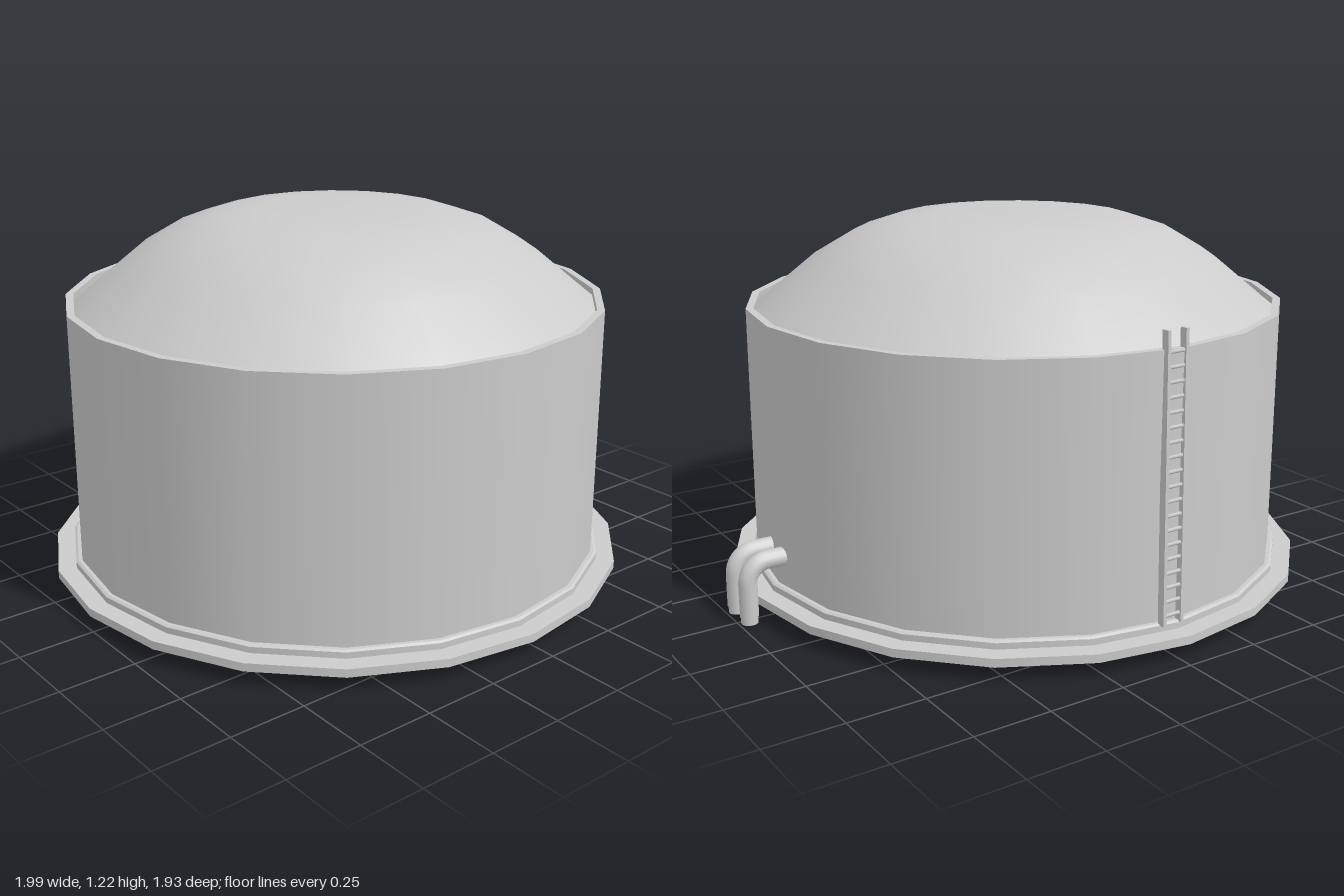
import * as THREE from 'three';

const SIDES = 20;

export function createModel() {
  const model = new THREE.Group();
  model.name = 'storageTank';
  const mat = new THREE.MeshStandardMaterial({ color: 0xcccccc });

  const add = (parent, name, geometry) => {
    const mesh = new THREE.Mesh(geometry, mat);
    mesh.name = name;
    parent.add(mesh);
    return mesh;
  };
  const group = (name) => {
    const g = new THREE.Group();
    g.name = name;
    model.add(g);
    return g;
  };
  const lathe = (pts) =>
    new THREE.LatheGeometry(pts.map(([r, y]) => new THREE.Vector2(r, y)), SIDES);
  // One lathe per profile segment keeps the edges between them sharp
  const addHard = (parent, name, pts) => {
    for (let i = 0; i < pts.length - 1; i++) add(parent, name, lathe([pts[i], pts[i + 1]]));
  };

  // Round tank body, slightly off centre because the pipes stick out on one side
  const tank = group('tank');
  tank.position.set(-0.035, 0, -0.003);
  tank.rotation.y = -0.011;
  addHard(tank, 'base', [
    [0, 0.03], [0.905, 0.03], [0.905, 0.048], [0.965, 0.048], [0.965, 0.075],
    [0.905, 0.075], [0.905, 0.095], [0.897, 0.1], [0.885, 0.1],
  ]);
  addHard(tank, 'wall', [[0.885, 0.1], [0.885, 0.932], [0.86, 0.932], [0.86, 0.91]]);
  add(tank, 'domeRoof', lathe([
    [0.86, 0.91], [0.835, 0.93], [0.665, 1.07], [0.53, 1.15],
    [0.395, 1.195], [0.25, 1.212], [0, 1.216],
  ]));

  // Two elbow pipes on the left side, each with a narrower foot
  for (const z of [-0.018, 0.082]) {
    const pipe = group('outletPipe');
    pipe.position.z = z;
    const path = new THREE.CurvePath();
    const v = (x, y) => new THREE.Vector3(x, y, 0);
    const bend = 0.065, x = 0.965, y = 0.197, k = bend * 0.448;
    path.add(new THREE.LineCurve3(v(0.82, y), v(x - bend, y)));
    path.add(new THREE.CubicBezierCurve3(
      v(x - bend, y), v(x - k, y), v(x, y - k), v(x, y - bend)));
    path.add(new THREE.LineCurve3(v(x, y - bend), v(x, 0.025)));
    add(pipe, 'elbow', new THREE.TubeGeometry(path, 32, 0.03, 14));
    add(pipe, 'collar', new THREE.CylinderGeometry(0.03, 0.03, 0.004, 14)).position.set(x, 0.025, 0);
    add(pipe, 'foot', new THREE.CylinderGeometry(0.027, 0.027, 0.03, 14)).position.set(x, 0.015, 0);
  }

  // Ladder on the back, leaning slightly against the wall
  const ladder = group('ladder');
  const bottom = 0.095, top = 0.99, height = top - bottom;
  ladder.position.set(-0.003, bottom, -0.9);
  ladder.rotation.x = 0.022;
  for (const side of [-1, 1]) {
    add(ladder, 'rail', new THREE.BoxGeometry(0.011, height, 0.026))
      .position.set(side * 0.033, height / 2, 0);
  }
  const rungs = 19;
  for (let i = 0; i < rungs; i++) {
    const rung = add(ladder, 'rung', new THREE.CylinderGeometry(0.006, 0.006, 0.066, 6));
    rung.rotation.z = Math.PI / 2;
    rung.position.set(0, 0.03 + i * 0.0445, -0.004);
  }

  return model;
}
